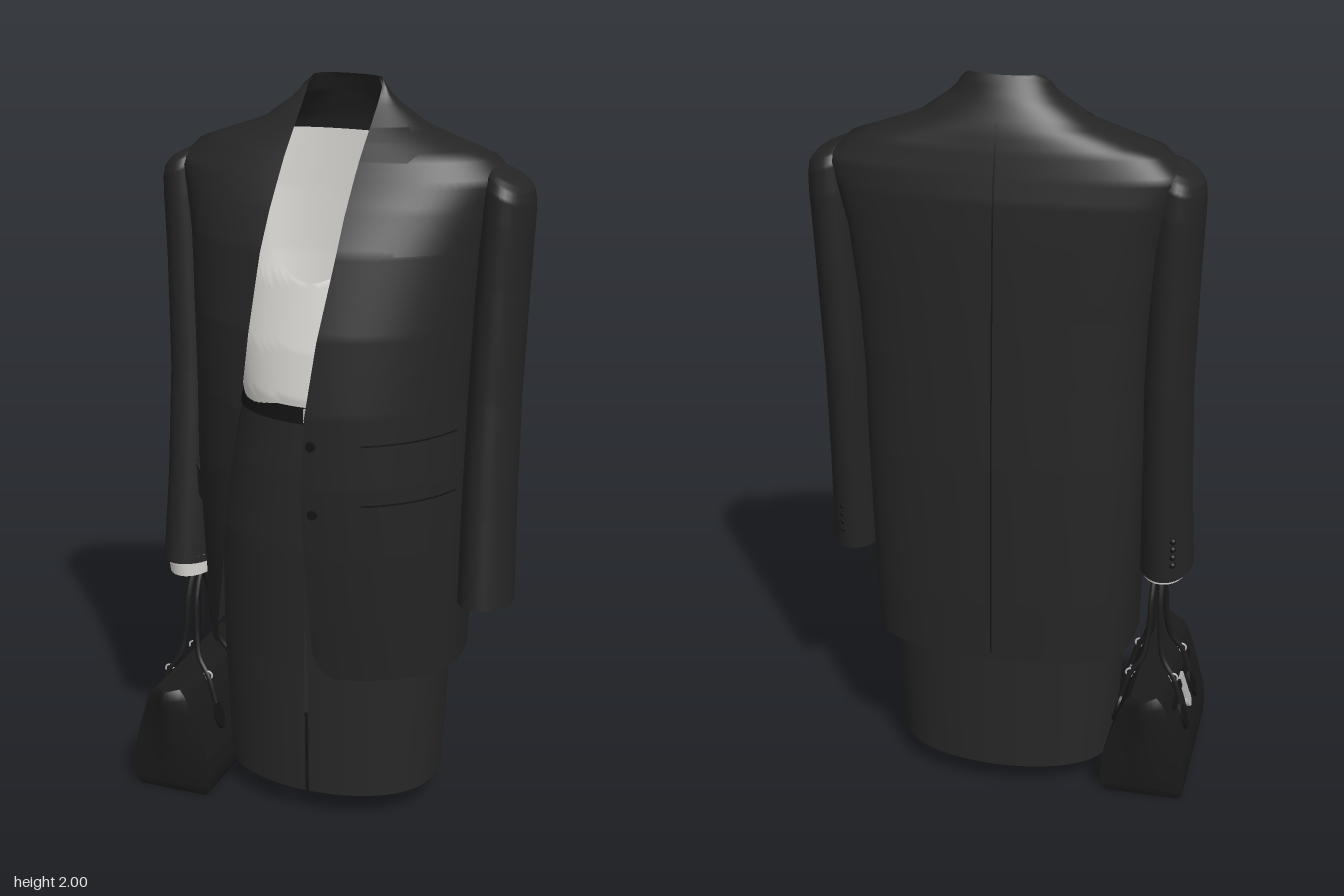
import * as THREE from 'three';
import { ParametricGeometry } from 'three/addons/geometries/ParametricGeometry.js';

const mat = (name, color) => {
  const m = new THREE.MeshStandardMaterial({ color, side: THREE.DoubleSide });
  m.name = name;
  return m;
};

// Linear lookup in a table of rows [key, value, value, ...]
function lookup(table, k) {
  let i = 0;
  while (i < table.length - 2 && k > table[i + 1][0]) i++;
  const a = table[i], b = table[i + 1];
  const t = THREE.MathUtils.clamp((k - a[0]) / (b[0] - a[0]), 0, 1);
  return a.slice(1).map((v, j) => v + (b[j + 1] - v) * t);
}

// Garment sections: [y, half width, front z, back z, centre z, back squareness]
// left and right: how full each half of the front is
const JACKET = { left: 1.1, right: 0.82, rows: [
  [0.44, 0.355, 0.215, -0.285, -0.03, 0.5], [0.6, 0.36, 0.24, -0.285, -0.03, 0.47], [0.8, 0.365, 0.268, -0.28, -0.03, 0.45],
  [1.0, 0.37, 0.287, -0.275, -0.03, 0.43], [1.2, 0.37, 0.292, -0.265, -0.04, 0.42], [1.4, 0.38, 0.272, -0.255, -0.05, 0.4],
  [1.6, 0.4, 0.22, -0.245, -0.07, 0.38], [1.7, 0.425, 0.165, -0.238, -0.08, 0.38], [1.77, 0.45, 0.115, -0.225, -0.085, 0.42],
  [1.82, 0.4, 0.08, -0.215, -0.085, 0.5], [1.86, 0.29, 0.045, -0.205, -0.09, 0.6], [1.89, 0.21, 0.015, -0.195, -0.09, 0.7],
  [1.95, 0.125, -0.05, -0.17, -0.085, 0.85], [1.98, 0.105, -0.085, -0.155, -0.09, 0.9], [2.0, 0.085, -0.11, -0.14, -0.11, 0.9]] };
const SKIRT = { left: 0.85, right: 0.85, rows: [
  [0.075, 0.3, 0.195, -0.25, -0.025, 0.7], [0.45, 0.318, 0.2, -0.258, -0.03, 0.7], [0.8, 0.315, 0.212, -0.245, -0.03, 0.7],
  [1.0, 0.28, 0.21, -0.22, -0.02, 0.7], [1.2, 0.23, 0.196, -0.175, 0, 0.7]] };
const TOP = { left: 0.65, right: 0.65, rows: [
  [1.15, 0.22, 0.192, -0.17, 0, 0.7], [1.22, 0.23, 0.202, -0.172, 0, 0.7], [1.35, 0.25, 0.194, -0.175, -0.01, 0.7],
  [1.52, 0.25, 0.166, -0.175, -0.04, 0.7], [1.7, 0.24, 0.09, -0.17, -0.06, 0.7], [1.86, 0.2, -0.02, -0.165, -0.09, 0.7]] };

// Jacket front edges: [y, distance from the middle]
const LEFT_EDGE = [[0.44, 0.08], [0.47, 0.045], [0.52, 0.028], [1, 0.02], [1.2, 0.035], [1.4, 0.06], [1.6, 0.088], [1.85, 0.1], [2, 0.1]];
const RIGHT_EDGE = [[0.44, 0.3], [0.6, 0.265], [0.8, 0.225], [1, 0.19], [1.2, 0.15], [1.4, 0.13], [1.6, 0.115], [1.85, 0.1], [2, 0.1]];

// Point on a garment, angle 0 at the front turning to +x
function onBody(shape, y, angle, off, p) {
  const [w, zf, zb, zc, back] = lookup(shape.rows, y);
  const c = Math.cos(angle), s = Math.sin(angle);
  const z = c > 0 ? (zf + off - zc) * c ** (s > 0 ? shape.left : shape.right) : (zb - off - zc) * (-c) ** back;
  return p.set((w + off) * s, y, zc + z);
}

const angleAt = (shape, y, x) => Math.asin(THREE.MathUtils.clamp(x / lookup(shape.rows, y)[0], -1, 1));

export function createModel() {
  const model = new THREE.Group();
  model.name = 'outfit';
  const black = mat('jacket black', 0x252525);
  const skirtBlack = mat('skirt black', 0x272727);
  const trim = mat('trim black', 0x141414);
  const leather = mat('bag leather', 0x1b1b1b);
  const white = mat('white cloth', 0xdfddd8);
  const metal = mat('silver', 0xb4b4b4);

  const add = (name, geometry, material, parent = model) => {
    const m = new THREE.Mesh(geometry, material);
    m.name = name;
    parent.add(m);
    return m;
  };
  const sheet = (name, fn, nu, nv, material, parent) => add(name, new ParametricGeometry(fn, nu, nv), material, parent);

  // Thin patch lying on the jacket, rows [y, x0, x1]
  const patch = (name, rows, off, material = black, back = false) => sheet(name, (u, v, p) => {
    const y = rows[0][0] + (rows.at(-1)[0] - rows[0][0]) * v;
    const [x0, x1] = lookup(rows, y);
    const a = angleAt(JACKET, y, x0 + (x1 - x0) * u);
    onBody(JACKET, y, back ? Math.PI - a : a, off, p);
  }, 8, 24, material);

  // Jacket body and folded collar, open at the front
  const wrap = (name, y0, y1, off) => sheet(name, (u, v, p) => {
    const y = y0 + (y1 - y0) * v;
    const a = angleAt(JACKET, y, lookup(LEFT_EDGE, y)[0]);
    const b = Math.PI * 2 - angleAt(JACKET, y, lookup(RIGHT_EDGE, y)[0]);
    onBody(JACKET, y, a + (b - a) * u, off, p);
  }, 80, Math.ceil((y1 - y0) * 50), black);
  wrap('jacketBody', 0.44, 2, 0);
  wrap('collar', 1.9, 1.998, 0.006);

  // Lapels and collar points
  const outerLeft = [[1.2, 0.04], [1.4, 0.12], [1.6, 0.19], [1.76, 0.255], [1.8, 0.19]];
  const outerRight = [[1.2, 0.17], [1.4, 0.19], [1.6, 0.215], [1.76, 0.25], [1.8, 0.19]];
  for (const [side, s, edge, outer] of [['left', 1, LEFT_EDGE, outerLeft], ['right', -1, RIGHT_EDGE, outerRight]]) {
    patch(side + 'Lapel', outer.map(([y, x]) => [y, s * lookup(edge, y)[0], s * x]), 0.006);
    patch(side + 'CollarPoint', [[1.815, s * 0.1, s * 0.21], [1.84, s * 0.1, s * 0.235], [1.905, s * 0.1, s * 0.17]], 0.006);
  }
  // Pocket flaps with dark seams; the right one is mostly turned to the side
  for (const [y, x0, x1] of [[0.885, 0.17, 0.354], [1.05, 0.17, 0.354], [0.885, -0.3, -0.354]]) {
    patch('pocketFlap', [[y, x0 + 0.01, x1], [y + 0.085, x0, x1]], 0.008);
    patch('pocketSeam', [[y + 0.083, x0, x1], [y + 0.088, x0, x1]], 0.009, trim);
  }
  patch('breastPocket', [[1.61, 0.22, 0.325], [1.64, 0.225, 0.34]], 0.008);
  patch('pocketSquare', [[1.64, 0.23, 0.335], [1.7, 0.285, 0.286]], 0.006);
  patch('backSeam', [[0.46, -0.002, 0.002], [1.9, -0.002, 0.002]], 0.003, trim, true);

  // Jacket buttons
  for (const y of [0.94, 1.13]) {
    const b = add('jacketButton', new THREE.CylinderGeometry(0.013, 0.013, 0.01, 20), trim);
    onBody(JACKET, y, angleAt(JACKET, y, 0.05), 0.001, b.position);
    b.rotation.x = Math.PI / 2;
  }

  // Sleeves: [y, centre x, half width, centre z, half depth]
  const SLEEVE = [
    [0.645, 0.437, 0.073, -0.008, 0.11], [0.9, 0.431, 0.07, -0.035, 0.108], [1.2, 0.43, 0.067, -0.062, 0.106],
    [1.5, 0.438, 0.067, -0.076, 0.105], [1.68, 0.446, 0.066, -0.08, 0.105], [1.74, 0.449, 0.063, -0.08, 0.102],
    [1.768, 0.45, 0.058, -0.08, 0.088], [1.784, 0.447, 0.045, -0.08, 0.065], [1.792, 0.44, 0.025, -0.08, 0.035], [1.794, 0.435, 0.002, -0.08, 0.002]];
  for (const s of [1, -1]) {
    const arm = new THREE.Group();
    arm.name = s > 0 ? 'leftSleeve' : 'rightSleeve';
    model.add(arm);
    sheet('sleeve', (u, v, p) => {
      const y = 0.645 + 1.149 * (1 - (1 - v) ** 1.6);
      const [cx, rx, cz, rz] = lookup(SLEEVE, y);
      const a = u * Math.PI * 2;
      // Hem tips up in front, cap slopes down away from the neck
      const hem = 0.01 * Math.cos(a) * (1 - v) ** 4;
      const slope = -0.42 * rx * Math.sin(a) * THREE.MathUtils.smoothstep(y, 1.6, 1.76);
      p.set(s * (cx - (s < 0 ? 0.012 : 0) + rx * Math.sin(a)), y + hem + slope, cz + rz * Math.cos(a));
    }, 36, 60, black, arm);
    for (let i = 0; i < 4; i++) {
      const b = add('cuffButton', new THREE.SphereGeometry(0.009, 12, 8), trim, arm);
      b.position.set(s * 0.455, 0.69 + i * 0.025, -0.112 - i * 0.002);
    }
  }
  // Shirt cuff below the right sleeve
  const cuff = add('shirtCuff', new THREE.CylinderGeometry(0.066, 0.06, 0.06, 32, 1, true), white);
  cuff.scale.z = 1.45;
  cuff.position.set(-0.42, 0.642, 0);

  // White top with scooped front and high back
  sheet('top', (u, v, p) => {
    const a = u * Math.PI * 2;
    const rim = 1.52 + 0.33 * Math.min(1, (1 - Math.cos(a)) * 2);
    onBody(TOP, 1.15 + (rim - 1.15) * v, a, 0, p);
  }, 64, 24, white);

  // Skirt with front slit, and its belt
  sheet('skirt', (u, v, p) => {
    const y = 0.075 + 1.125 * v;
    const gap = 0.016 * THREE.MathUtils.clamp((0.6 - y) / 0.12, 0, 1);
    onBody(SKIRT, y, gap + u * (Math.PI * 2 - 2 * gap), 0, p);
  }, 72, 44, skirtBlack);
  sheet('belt', (u, v, p) => onBody(SKIRT, 1.155 + 0.045 * v, u * Math.PI * 2, 0.005, p), 64, 3, trim);
  const buckle = add('beltBuckle', new THREE.BoxGeometry(0.022, 0.036, 0.008), metal);
  buckle.position.set(0.01, 1.18, 0.206);

  // Handbag hung from the right hand
  const bag = new THREE.Group();
  bag.name = 'handbag';
  bag.position.set(-0.405, 0, 0.005);
  model.add(bag);
  const BAG = [[0, 0.1, 0.2], [0.015, 0.112, 0.207], [0.06, 0.117, 0.21], [0.12, 0.112, 0.212], [0.2, 0.09, 0.215], [0.28, 0.065, 0.22], [0.315, 0.05, 0.22], [0.33, 0.035, 0.215]];
  const shell = new THREE.BoxGeometry(1, 1, 1, 8, 22, 12);
  const pos = shell.attributes.position;
  for (let i = 0; i < pos.count; i++) {
    const y = (pos.getY(i) + 0.5) * 0.33;
    const [hx, hz] = lookup(BAG, y);
    const tip = 0.035 * (1 - Math.abs(pos.getX(i)) * 2) * (y / 0.33);
    pos.setXYZ(i, pos.getX(i) * 2 * hx, y, pos.getZ(i) * 2 * (hz + tip));
  }
  shell.computeVertexNormals();
  add('bagBody', shell, leather, bag);
  const handle = [[0.084, 0.235, 0.085], [0.062, 0.31, 0.08], [0.03, 0.36, 0.07], [0.018, 0.42, 0.058], [0.012, 0.54, 0.04], [0.01, 0.6, 0]];
  for (const s of [1, -1]) {
    const half = handle.map(([x, y, z]) => new THREE.Vector3(s * x, y, z));
    const rest = handle.slice(0, -1).reverse().map(([x, y, z]) => new THREE.Vector3(s * x, y, -z));
    add('bagHandle', new THREE.TubeGeometry(new THREE.CatmullRomCurve3([...half, ...rest]), 56, 0.008, 8), leather, bag);
    for (const e of [1, -1]) {
      const tab = add('handleTab', new THREE.CylinderGeometry(0.024, 0.024, 0.008, 20), trim, bag);
      tab.scale.x = 1.8;
      tab.position.set(s * 0.093, 0.2, e * 0.085);
      tab.rotation.z = s * (Math.PI / 2 + 0.3);
      const ring = add('handleRing', new THREE.TorusGeometry(0.012, 0.003, 8, 20), metal, bag);
      ring.position.set(s * 0.06, 0.315, e * 0.08);
    }
  }
  // Strap and silver clasp on the outer face
  const strap = add('bagStrap', new THREE.BoxGeometry(0.006, 0.02, 0.3), trim, bag);
  strap.position.set(-0.073, 0.262, 0);
  const clasp = add('bagClasp', new THREE.BoxGeometry(0.008, 0.07, 0.036), metal, bag);
  clasp.position.set(-0.081, 0.242, 0);
  const lock = add('bagLock', new THREE.CylinderGeometry(0.022, 0.022, 0.008, 20), metal, bag);
  lock.position.set(-0.094, 0.2, 0);
  strap.rotation.z = clasp.rotation.z = -0.3;
  lock.rotation.z = Math.PI / 2 - 0.3;

  return model;
}
